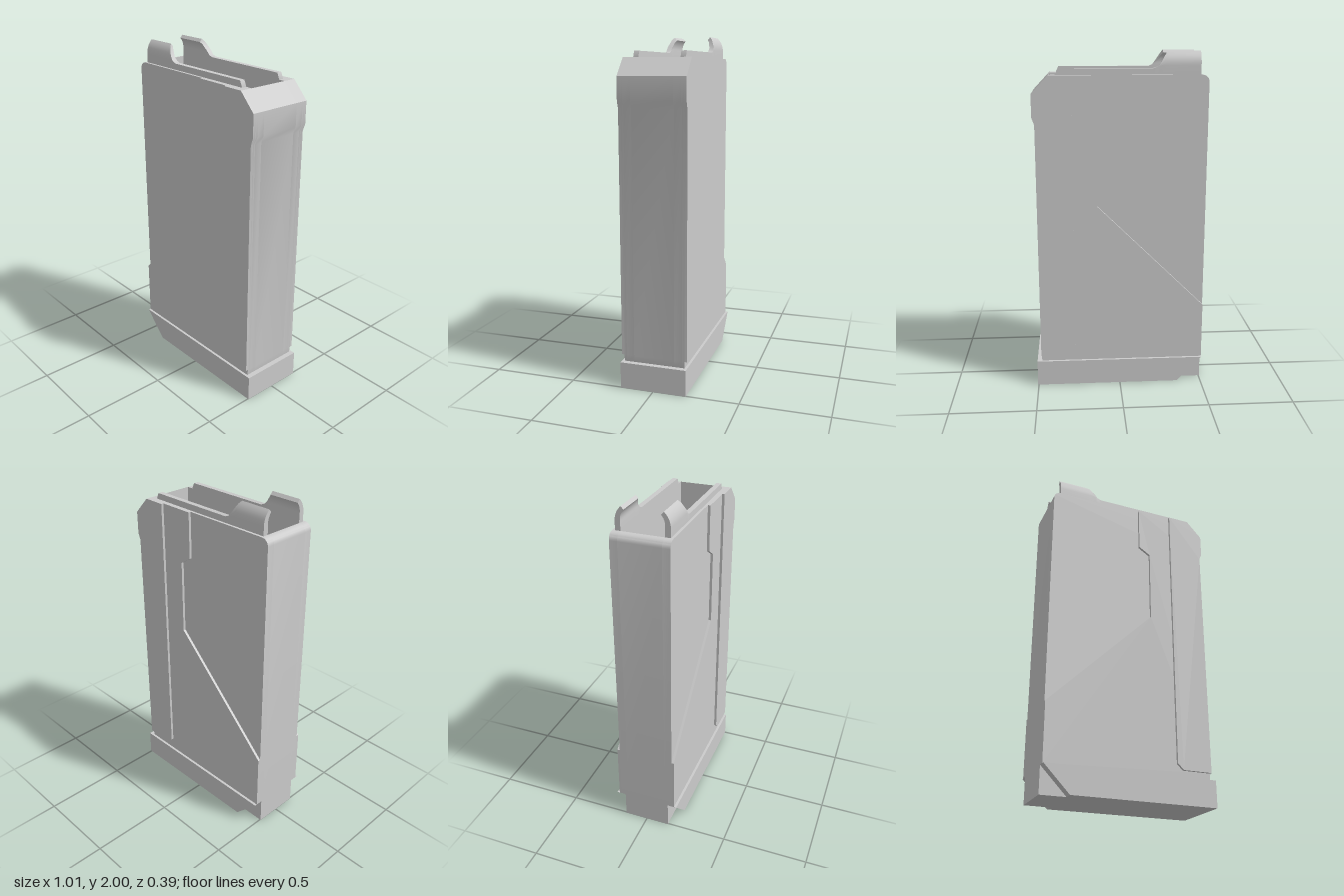
import * as THREE from 'three';
import { toCreasedNormals } from 'three/addons/utils/BufferGeometryUtils.js';

const material = new THREE.MeshStandardMaterial({ color: 0xcccccc });

const LEFT = -0.505, TOP = 1.87, NECK = 0.155;
const WALL = 0.12;   // inner face of the side walls
const CAVITY = { x0: -0.46, x1: 0.40, floor: 0.2 };

// Right-hand outline from the neck up to the chamfered top
const rightEdge = [[0.48, 0.195], [0.48, 1.60], [0.495, 1.64], [0.495, 1.77], [0.40, TOP]];

// Rounded top corner on the other end, running from the top down to the side
const roundedCorner = [];
for (let i = 0; i <= 6; i++) {
  const a = Math.PI / 2 * (1 + i / 6), r = 0.04;
  roundedCorner.push([LEFT + r + r * Math.cos(a), TOP - r + r * Math.sin(a)]);
}

// Extrude a front outline between two z values
function plate(points, z0, z1) {
  const shape = new THREE.Shape(points.map(([x, y]) => new THREE.Vector2(x, y)));
  const geometry = new THREE.ExtrudeGeometry(shape, { depth: z1 - z0, bevelEnabled: false });
  geometry.translate(0, 0, z0);
  return toCreasedNormals(geometry, 0.5);
}

function add(group, name, geometry) {
  const mesh = new THREE.Mesh(geometry, material);
  mesh.name = name;
  group.add(mesh);
}

// The same layer on the front and on the back
function addPair(group, name, points, z0, z1) {
  add(group, name + 'Front', plate(points, z0, z1));
  add(group, name + 'Back', plate(points, -z1, -z0));
}

// Feed lip: a wall strip whose height varies along x and which curls inwards
function lipGeometry(side) {
  const stations = [[-0.46, 2], [-0.275, 2], [-0.262, 1.985], [-0.235, 1.94], [-0.215, 1.914],
    [-0.19, 1.905], [0.345, 1.905], [0.36, 1.872]];
  const R = 0.107, thickness = 0.03, bendY = 1.92, centreZ = 0.15 - R, steps = 8;
  const ring = 2 * (steps + 1);
  const positions = [], index = [];

  for (const [x, height] of stations) {
    const angle = Math.asin(Math.max(0, height - bendY) / R);
    const straight = Math.min(height, bendY);
    const outer = [], inner = [];
    for (let i = 0; i <= steps; i++) {
      const a = i < 2 ? 0 : angle * (i - 1) / (steps - 1);
      const y = i === 0 ? TOP : straight;
      const r = R - thickness * (1 - 0.3 * a);
      outer.push([x, y + R * Math.sin(a), side * (centreZ + R * Math.cos(a))]);
      inner.unshift([x, y + r * Math.sin(a), side * (centreZ + r * Math.cos(a))]);
    }
    positions.push(...[...outer, ...inner].flat());
  }

  const tri = (a, b, c) => (side > 0 ? index.push(a, b, c) : index.push(a, c, b));
  for (let s = 0; s < stations.length - 1; s++) {
    for (let i = 0; i < ring; i++) {
      const j = (i + 1) % ring;
      const a = s * ring + i, b = s * ring + j;
      tri(a, a + ring, b);
      tri(b, a + ring, b + ring);
    }
  }
  // End caps
  const last = (stations.length - 1) * ring;
  for (let i = 0; i < steps; i++) {
    const p = ring - 1 - i, q = p - 1;
    tri(i, i + 1, p);
    tri(i + 1, q, p);
    tri(last + i, last + p, last + i + 1);
    tri(last + i + 1, last + p, last + q);
  }

  const geometry = new THREE.BufferGeometry();
  geometry.setAttribute('position', new THREE.Float32BufferAttribute(positions, 3));
  geometry.setIndex(index);
  return toCreasedNormals(geometry, 0.7);
}

export function createModel() {
  const group = new THREE.Group();
  group.name = 'boxMagazine';

  // Middle slice with the open cavity
  const { x0, x1, floor } = CAVITY;
  add(group, 'cavityWalls', plate([
    [LEFT, NECK], [0.475, NECK], ...rightEdge,
    [x1, floor], [x0, floor], [x0, TOP], ...roundedCorner.slice(1),
  ], -WALL, WALL));

  // Side walls in three stepped layers
  addPair(group, 'sideWall', [
    [LEFT, NECK], [0.475, NECK], ...rightEdge, ...roundedCorner,
  ], WALL, 0.165);
  addPair(group, 'raisedPanel', [
    [LEFT, NECK], [0.475, NECK], ...rightEdge,
    [0.06, TOP], [0.06, 1.60], [0.13, 1.555], [0.13, 1.12], [LEFT, 0.495],
  ], 0.165, 0.18);
  addPair(group, 'spinePanel', [
    [0.305, 0.195], ...rightEdge, [0.27, TOP], [0.27, 0.23],
  ], 0.18, 0.195);

  // Base plate with slanted end and the narrower tongue behind the slant
  add(group, 'basePlate', plate([
    [LEFT, NECK], [-0.355, 0], [0.505, 0], [0.505, NECK],
  ], -0.195, 0.195));
  add(group, 'baseTongue', plate([
    [LEFT, 0], [-0.355, 0], [LEFT, NECK],
  ], -0.14, 0.14));

  // Curled feed lips
  add(group, 'feedLipFront', lipGeometry(1));
  add(group, 'feedLipBack', lipGeometry(-1));

  return group;
}
